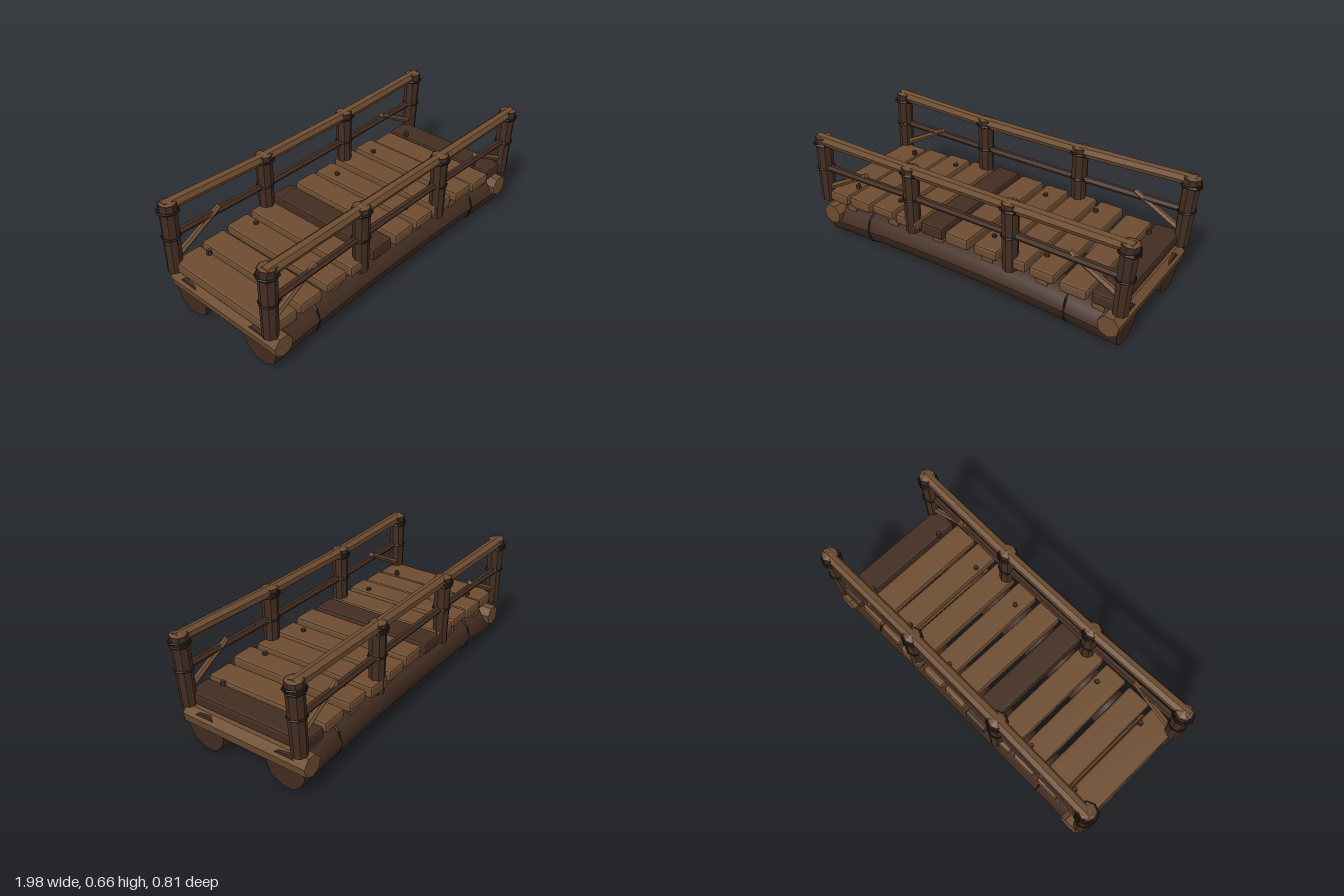
import * as THREE from 'three';
import { RoundedBoxGeometry } from 'three/addons/geometries/RoundedBoxGeometry.js';

const wood = (color, flatShading = true) => new THREE.MeshStandardMaterial({ color, flatShading });
const LIGHT = wood(0x6e4d31);
const DARK = wood(0x432d21);
const BARK = wood(0x432d21, false);
const ROPE = wood(0x251b15);
const UP = new THREE.Vector3(0, 1, 0);

// small seeded random, -1..1
let seed = 7;
const rnd = () => ((seed = (seed * 16807) % 2147483647) / 2147483647) * 2 - 1;

export function createModel() {
  const group = new THREE.Group();

  function add(name, geometry, material, position = [0, 0, 0]) {
    const mesh = new THREE.Mesh(geometry, material);
    mesh.name = name;
    mesh.position.set(...position);
    group.add(mesh);
    return mesh;
  }

  // round bar between two points
  function bar(name, a, b, r0, r1, sides, material) {
    const from = new THREE.Vector3(...a), to = new THREE.Vector3(...b);
    const dir = to.clone().sub(from);
    const mesh = add(name, new THREE.CylinderGeometry(r1, r0, dir.length(), sides), material);
    mesh.position.copy(from).add(to).multiplyScalar(0.5);
    mesh.quaternion.setFromUnitVectors(UP, dir.normalize());
    return mesh;
  }

  // arch height added along the span
  const arch = x => 0.035 * (1 - (x / 0.93) ** 2);

  // arched bearer logs with an uneven section
  const bumps = [1, 1.02, 0.97, 1.03, 0.99, 1.05, 0.97, 1.02, 0.98, 1];
  for (const z of [0.25, -0.25]) {
    const g = new THREE.CylinderGeometry(0.109, 0.109, 1.85, 10, 14);
    g.rotateZ(Math.PI / 2);
    const p = g.attributes.position;
    for (let i = 0; i < p.count; i++) {
      const x = p.getX(i), y = p.getY(i), w = p.getZ(i);
      const k = Math.round((Math.atan2(y, w) / (2 * Math.PI)) * 10 + 10) % 10;
      p.setXYZ(i, x - 0.01 + y * x * 0.08, y * bumps[k] + arch(x), w * bumps[k] * 1.03);
    }
    g.computeVertexNormals();
    add('bearerLog', g, BARK, [0, 0.111, z]);

    // rope bindings on the logs
    for (const x of [-0.64, 0.625]) {
      const ring = add('logRope', new THREE.TorusGeometry(0.112, 0.006, 5, 10), ROPE, [x, 0.111 + arch(x), z]);
      ring.rotation.y = Math.PI / 2;
    }
  }

  // end sills and smaller cross bearers
  for (const x of [-0.895, 0.875])
    bar('endSill', [x, 0.17, -0.382], [x, 0.17, 0.382], 0.06, 0.06, 7, LIGHT);
  for (const x of [-0.79, -0.48, -0.17, 0.15, 0.475, 0.79]) {
    const y = 0.2 + arch(x) * 0.8;
    bar('crossBearer', [x, y, -0.325], [x, y, 0.325], 0.036, 0.036, 7, LIGHT);
  }

  // deck planks: centre x, width, centre y, thickness
  const planks = [
    [-0.865, 0.17, 0.278, 0.065], [-0.69, 0.145, 0.284, 0.065], [-0.52, 0.145, 0.3, 0.055],
    [-0.35, 0.145, 0.298, 0.06], [-0.18, 0.145, 0.302, 0.072], [-0.01, 0.145, 0.304, 0.068],
    [0.16, 0.14, 0.3, 0.06], [0.33, 0.145, 0.3, 0.068], [0.5, 0.14, 0.304, 0.06],
    [0.67, 0.15, 0.285, 0.06], [0.835, 0.145, 0.28, 0.066],
  ];
  planks.forEach(([x, w, y, h], i) => {
    const g = new RoundedBoxGeometry(w, h, 0.73 + 0.02 * rnd(), 1, 0.014);
    const plank = add('deckPlank', g, i === 4 || i === 10 ? DARK : LIGHT, [x, y, 0.01 * rnd()]);
    plank.rotation.y = 0.01 * rnd();
  });

  // pegs holding the planks
  for (const [x, y] of [[-0.795, 0.32], [-0.48, 0.326], [0.145, 0.328], [0.46, 0.334], [0.772, 0.32]])
    for (const z of [0.25, -0.25])
      add('peg', new THREE.CylinderGeometry(0.013, 0.016, 0.03, 7), DARK, [x, y, z]);

  // railings, one per side
  for (const s of [1, -1]) {
    const lift = s > 0 ? 0 : 0.008;
    const posts = [
      [-0.94, -0.93, 0.345], [-0.32, -0.318, 0.34], [0.302, 0.3, 0.34], [0.915, 0.932, 0.345],
    ];
    posts.forEach(([x0, x1, z], i) => {
      const corner = i === 0 || i === 3;
      const top = (corner ? 0.642 : 0.632) + lift;
      bar('post', [x0, 0.248, s * z], [x1, top, s * z], 0.041, 0.047, 8, DARK);
      add('postCap', new THREE.ConeGeometry(0.043, 0.016, 8), LIGHT, [x1, top + 0.007, s * z]);
      // rope lashings
      const lashings = [[0.605, 0.052, 0.08], [0.597, 0.054, -0.1], [0.45, 0.047, 0.03]];
      for (const [y, r, tilt] of lashings) {
        const x = x0 + ((x1 - x0) * (y - 0.248)) / (top - 0.248);
        const ring = add('postRope', new THREE.TorusGeometry(r, 0.006, 5, 8), ROPE, [x, y + lift, s * z]);
        ring.rotation.set(Math.PI / 2 + tilt, tilt, 0);
      }
    });

    // top rail and middle rail, in spans between posts
    const railX = [-0.955, -0.32, 0.3, 0.955];
    const railY = [0.625, 0.612, 0.612, 0.625];
    const railZ = [0.352, 0.338, 0.338, 0.348];
    for (let i = 0; i < 3; i++) {
      const a = i, b = i + 1;
      bar('topRail', [railX[a], railY[a] + lift, s * railZ[a]], [railX[b], railY[b] + lift, s * railZ[b]],
        0.034, 0.031, 7, LIGHT);
      bar('middleRail', [railX[a] * 0.99, 0.454, s * railZ[a]], [railX[b] * 0.99, 0.454, s * railZ[b]],
        0.021, 0.019, 6, DARK);
    }

    // diagonal braces at the ends
    for (const e of [1, -1])
      bar('brace', [e * 0.905, 0.335, s * 0.34], [e * 0.635, 0.48, s * 0.34], 0.019, 0.015, 6, LIGHT);
  }

  return group;
}
